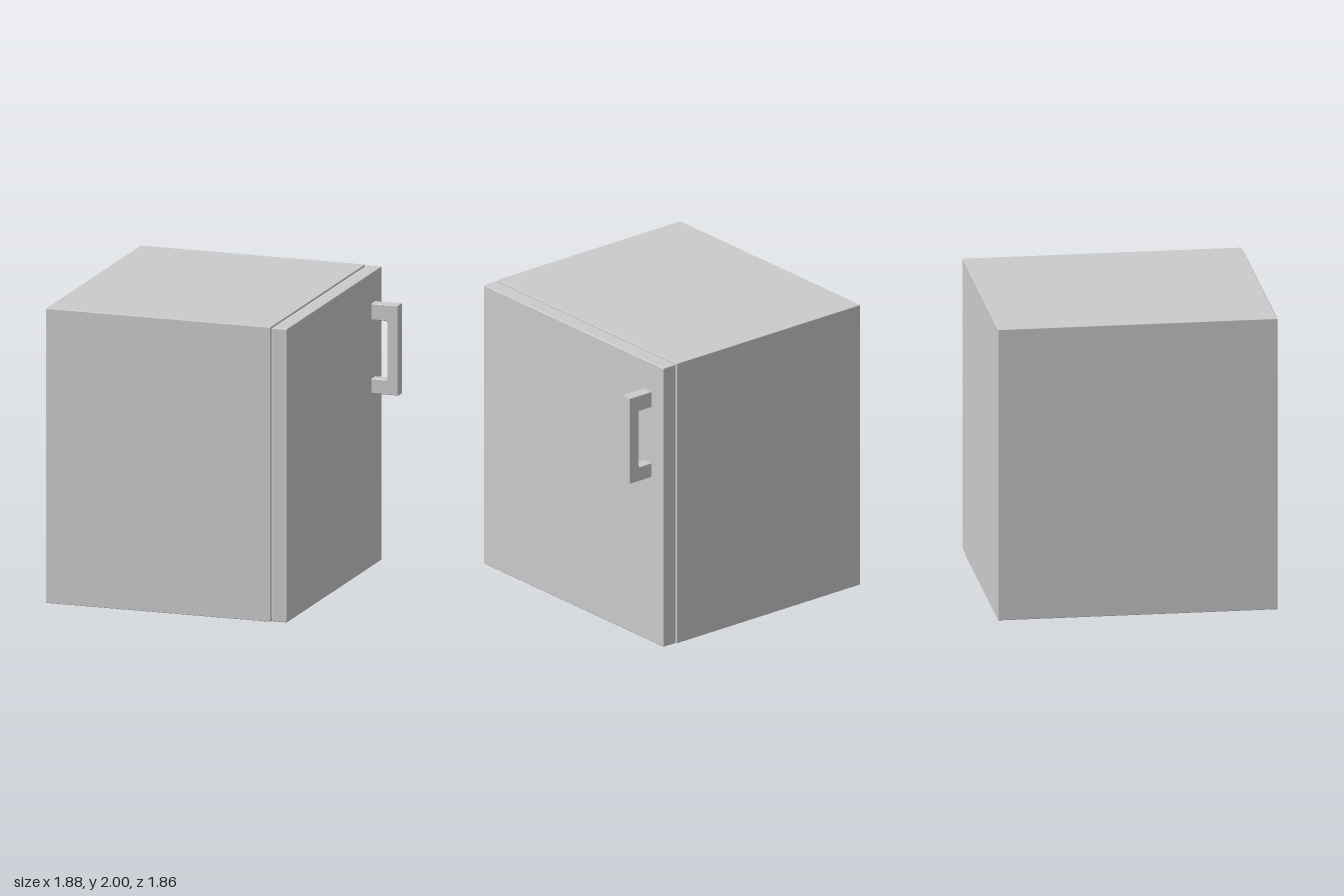
import * as THREE from 'three';
import { RoundedBoxGeometry } from 'three/addons/geometries/RoundedBoxGeometry.js';

const material = new THREE.MeshStandardMaterial({ color: 0xcccccc });

// Slightly softened box given by its minimum and maximum corners
function softBox(name, min, max, radius) {
  const size = max.map((v, i) => v - min[i]);
  const mesh = new THREE.Mesh(new RoundedBoxGeometry(...size, 2, radius), material);
  mesh.position.set(...max.map((v, i) => (v + min[i]) / 2));
  mesh.name = name;
  return mesh;
}

// Bracket handle: a C-shaped outline extruded along z with a fine bevel
function makeHandle() {
  const bevel = 0.004;
  const outline = [
    [0.745, 1.18], [0.935, 1.18], [0.935, 1.79], [0.745, 1.79],
    [0.745, 1.68], [0.847, 1.68], [0.858, 1.669],
    [0.858, 1.291], [0.847, 1.28], [0.745, 1.28],
  ];
  const shape = new THREE.Shape(outline.map(([x, y]) => new THREE.Vector2(x, y)));
  const geometry = new THREE.ExtrudeGeometry(shape, {
    depth: 0.08 - 2 * bevel,
    bevelEnabled: true,
    bevelSize: bevel,
    bevelThickness: bevel,
    bevelOffset: -bevel,
    bevelSegments: 1,
  });
  const mesh = new THREE.Mesh(geometry, material);
  mesh.position.z = -0.805 + bevel;
  mesh.name = 'handle';
  return mesh;
}

export function createModel() {
  const group = new THREE.Group();
  group.name = 'cabinet';

  // Cabinet body and the door on its +x side, parted by a narrow seam
  group.add(softBox('body', [-0.94, 0, -0.93], [0.633, 2, 0.93], 0.005));
  group.add(softBox('door', [0.64, 0.004, -0.928], [0.748, 1.996, 0.928], 0.007));

  // Thin seal set back inside the seam
  group.add(softBox('doorSeal', [0.625, 0.02, -0.91], [0.648, 1.98, 0.91], 0.002));

  group.add(makeHandle());
  return group;
}
